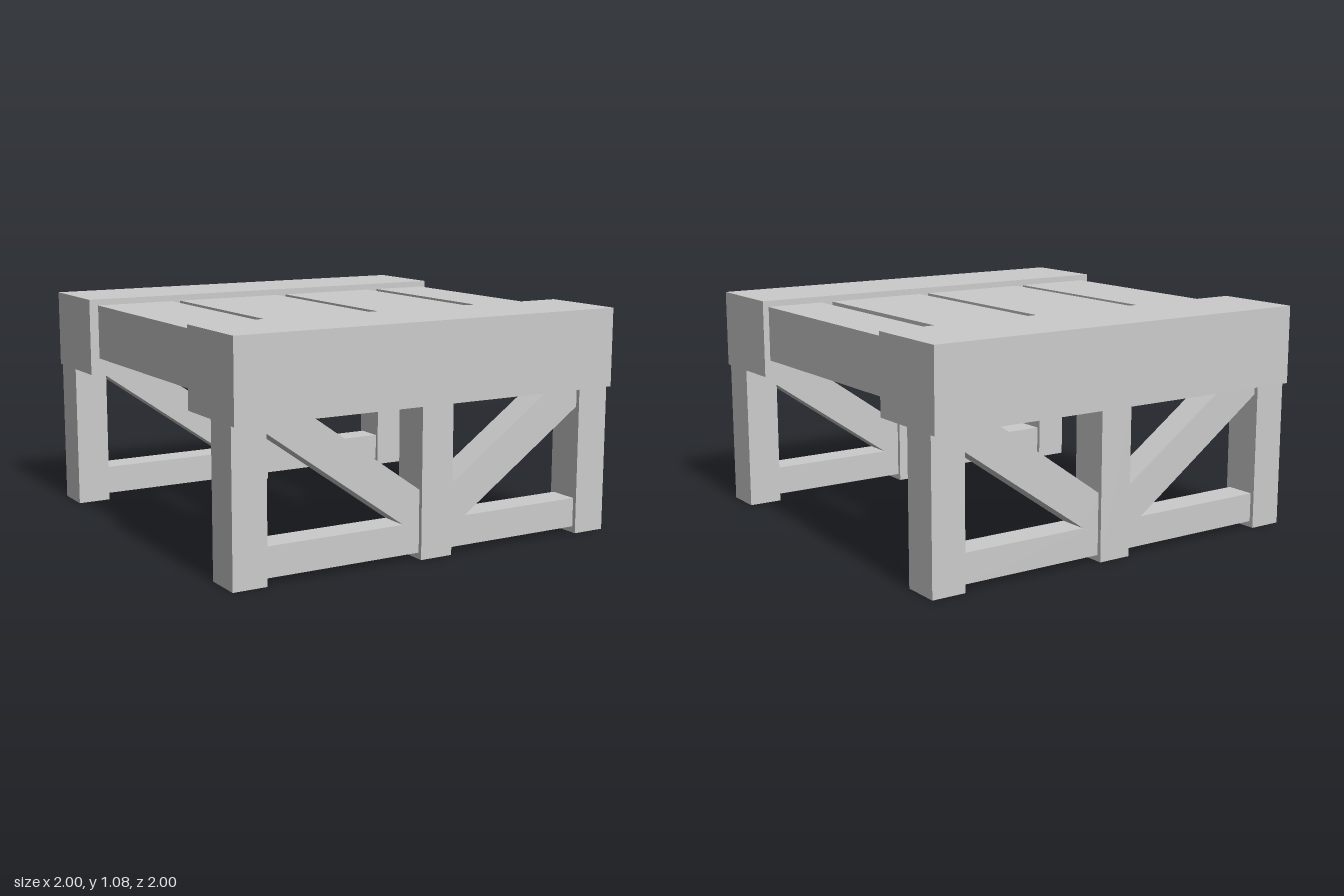
import * as THREE from 'three';

const material = new THREE.MeshStandardMaterial({ color: 0xcccccc, flatShading: true });

// Box given by its minimum and maximum on each axis
function block(name, [x0, x1], [y0, y1], [z0, z1]) {
  const mesh = new THREE.Mesh(new THREE.BoxGeometry(x1 - x0, y1 - y0, z1 - z0), material);
  mesh.name = name;
  mesh.position.set((x0 + x1) / 2, (y0 + y1) / 2, (z0 + z1) / 2);
  return mesh;
}

// Diagonal brace cut to fit against post, rail, leg and beam
function brace(name, points, z0, z1) {
  const shape = new THREE.Shape(points.map(([x, y]) => new THREE.Vector2(x, y)));
  const geometry = new THREE.ExtrudeGeometry(shape, { depth: z1 - z0, bevelEnabled: false });
  const mesh = new THREE.Mesh(geometry, material);
  mesh.name = name;
  mesh.position.z = z0;
  return mesh;
}

// Trestle: heavy beam on three posts, with rails and braces between them
function trestle(name, side) {
  const group = new THREE.Group();
  group.name = name;
  const span = (a, b) => (side > 0 ? [a, b] : [-b, -a]);
  const beamZ = span(0.565, 1), postZ = span(0.785, 0.97), braceZ = span(0.805, 0.95);

  group.add(block('beam', [-1, 1], [0.705, 1.08], beamZ));

  const posts = { rightLeg: [-1, -0.835], centrePost: [-0.055, 0.11], leftLeg: [0.835, 1] };
  for (const [part, x] of Object.entries(posts)) group.add(block(part, x, [0, 0.705], postZ));

  group.add(block('rightRail', [-0.835, -0.055], [0.03, 0.17], braceZ));
  group.add(block('leftRail', [0.11, 0.835], [0.03, 0.17], braceZ));

  group.add(brace('rightBrace', [[-0.835, 0.705], [-0.835, 0.66], [-0.14, 0.17],
    [-0.055, 0.17], [-0.055, 0.32], [-0.605, 0.705]], ...braceZ));
  group.add(brace('leftBrace', [[0.835, 0.705], [0.66, 0.705], [0.11, 0.32],
    [0.11, 0.17], [0.195, 0.17], [0.835, 0.615]], ...braceZ));
  return group;
}

export function createModel() {
  const model = new THREE.Group();
  model.name = 'timberPlatform';
  model.add(trestle('frontTrestle', 1), trestle('backTrestle', -1));

  // Deck planks of uneven width, set between the beams
  const planks = [[-0.955, -0.555], [-0.51, 0.055], [0.105, 0.62], [0.68, 0.97]];
  planks.forEach((x, i) => model.add(block(`plank${i + 1}`, x, [0.785, 1.05], [-0.565, 0.565])));
  return model;
}
